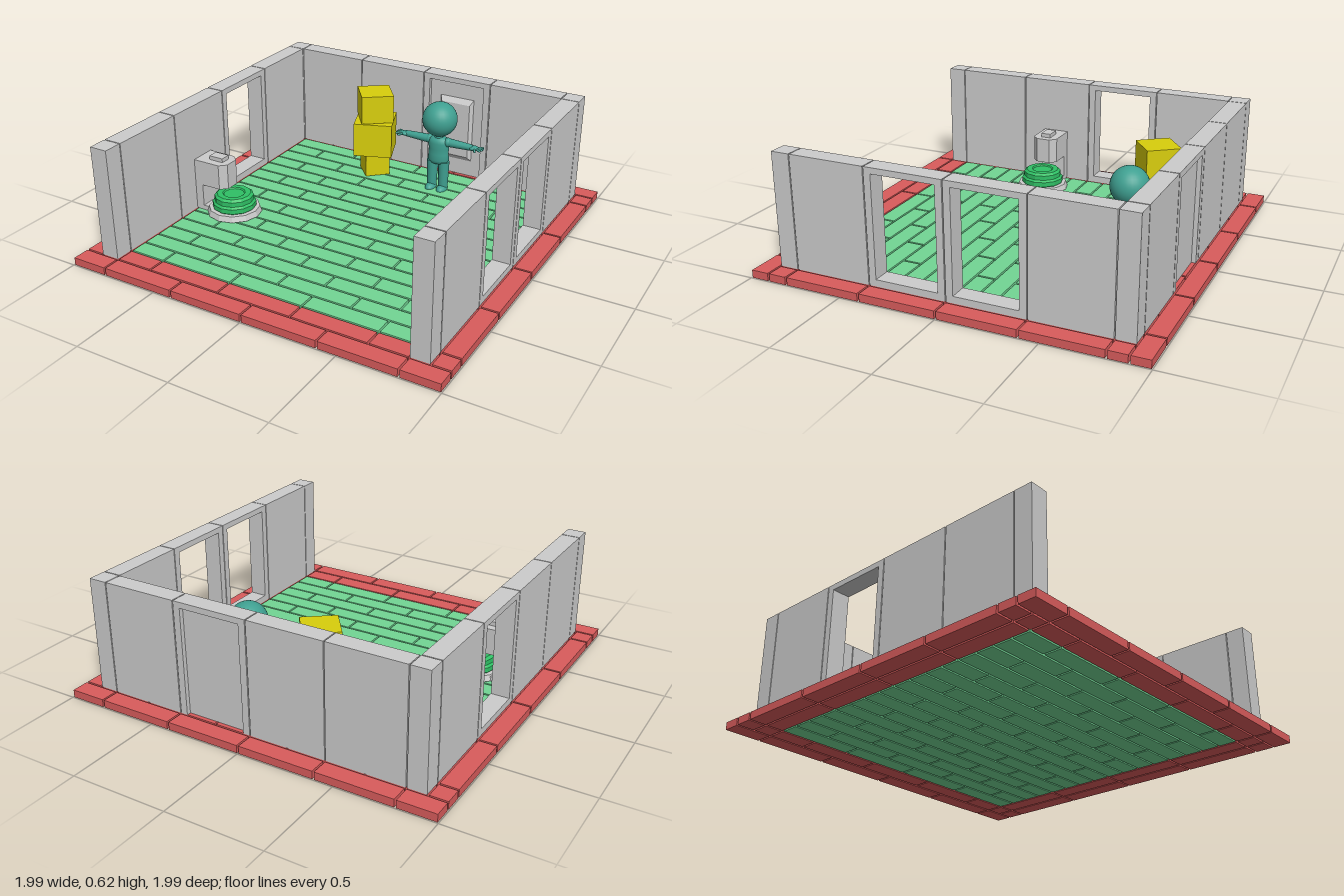
import * as THREE from 'three';

const mat = (color, extra = {}) => new THREE.MeshStandardMaterial({ color, ...extra });
const GREY = mat(0xcccccc), GREY_FLAT = mat(0xcccccc, { flatShading: true });
const RED = mat(0xd95c5c), GREEN = mat(0x72d594), YELLOW = mat(0xd8ce0c);
const TEAL = mat(0x3fa091), BUTTON = mat(0x2fc065, { flatShading: true });
const FLOOR = 0.04, WALL_H = 0.58, THICK = 0.095, GAP = 0.01;

function add(parent, name, geometry, material, x = 0, y = 0, z = 0) {
  const mesh = new THREE.Mesh(geometry, material);
  mesh.name = name;
  mesh.position.set(x, y, z);
  parent.add(mesh);
  return mesh;
}
const box = (w, h, d) => new THREE.BoxGeometry(w, h, d);

function group(parent, name, x = 0, y = 0, z = 0) {
  const g = new THREE.Group();
  g.name = name;
  g.position.set(x, y, z);
  parent.add(g);
  return g;
}

// One floor brick between two corners, with a seam around it
function brick(parent, name, x0, x1, z0, z1, material) {
  add(parent, name, box(x1 - x0 - GAP, FLOOR, z1 - z0 - GAP), material,
    (x0 + x1) / 2, FLOOR / 2, (z0 + z1) / 2);
}

function buildFloor(root) {
  const floor = group(root, 'floor');
  const straight = [-0.8, -0.4, 0, 0.4, 0.8];
  const shifted = [-0.8, -0.6, -0.2, 0.2, 0.6, 0.8];
  const spans = (joints, fn) => joints.slice(1).forEach((b, i) => fn(joints[i], b));
  // Green field in running bond
  for (let r = 0; r < 16; r++) {
    const z = -0.8 + r * 0.1;
    spans(r % 2 ? shifted : straight, (a, b) => brick(floor, 'floorBrick', a, b, z, z + 0.1, GREEN));
  }
  // Red border, two bricks wide
  const outer = [-1, ...straight, 1], side = [-0.9, -0.8, -0.4, 0, 0.4, 0.8, 0.9];
  const inner = [-0.9, ...shifted, 0.9];
  for (const s of [-1, 1]) {
    const o = s > 0 ? 0.9 : -1, n = s > 0 ? 0.8 : -0.9;
    spans(outer, (a, b) => brick(floor, 'borderBrick', a, b, o, o + 0.1, RED));
    spans(side, (a, b) => brick(floor, 'borderBrick', o, o + 0.1, a, b, RED));
    spans(inner, (a, b) => brick(floor, 'borderBrick', a, b, n, n + 0.1, RED));
    spans(straight, (a, b) => brick(floor, 'borderBrick', n, n + 0.1, a, b, RED));
  }
}

// Wall panel pierced by an opening that starts at height "sill"
function framePanel(sill) {
  const w = 0.1975, o = 0.162, top = 0.55;
  const pts = (list) => list.map(([x, y]) => new THREE.Vector2(x, y));
  let shape;
  if (sill > 0) {
    shape = new THREE.Shape(pts([[-w, 0], [w, 0], [w, WALL_H], [-w, WALL_H]]));
    shape.holes.push(new THREE.Path(pts([[-o, sill], [-o, top], [o, top], [o, sill]])));
  } else {
    shape = new THREE.Shape(pts([[-w, 0], [-o, 0], [-o, top], [o, top], [o, 0], [w, 0], [w, WALL_H], [-w, WALL_H]]));
  }
  return new THREE.ExtrudeGeometry(shape, { depth: THICK, bevelEnabled: false }).translate(0, 0, -THICK / 2);
}

// A run of four panels along local x, each 'solid', 'window' or 'door'
function wallRun(root, name, kinds) {
  const wall = group(root, name, 0, FLOOR, 0);
  kinds.forEach((kind, i) => {
    const x = -0.6 + i * 0.4;
    if (kind === 'solid') add(wall, 'wallPanel', box(0.395, WALL_H, THICK), GREY, x, WALL_H / 2);
    if (kind === 'window') add(wall, 'windowFrame', framePanel(0.035), GREY, x);
    if (kind === 'door') {
      add(wall, 'doorFrame', framePanel(0), GREY, x);
      add(wall, 'door', box(0.324, 0.55, 0.05), GREY, x, 0.275);
      // Raised field with sloping edges on the inner face
      const field = new THREE.CylinderGeometry(0.12, 0.1414, 0.022, 4).rotateY(Math.PI / 4).rotateX(Math.PI / 2);
      add(wall, 'doorField', field.scale(1, 1.85, 1), GREY_FLAT, x, 0.275, 0.036);
    }
  });
  return wall;
}

function buildWalls(root) {
  const c = 0.85;
  wallRun(root, 'backWall', ['solid', 'solid', 'door', 'solid']).position.z = -c;
  // The side runs list their panels from front to back
  for (const [name, x, kinds] of [
    ['rightWall', -c, ['solid', 'solid', 'window', 'solid']],
    ['leftWall', c, ['solid', 'window', 'window', 'solid']]]) {
    const wall = wallRun(root, name, kinds);
    wall.position.x = x;
    wall.rotation.y = Math.PI / 2;
    for (const z of [-c, c]) add(root, 'cornerPost', box(THICK, WALL_H, THICK), GREY, x, FLOOR + WALL_H / 2, z);
  }
}

function buildCrates(root) {
  const stack = group(root, 'crateStack', -0.202, 0, -0.61);
  // size, height, bottom, turn
  for (const [s, h, y, turn] of [[0.137, 0.128, 0.045, 0.75], [0.213, 0.192, 0.177, 0.36], [0.178, 0.158, 0.373, 0.65]]) {
    add(stack, 'crate', box(s, h, s), YELLOW, 0, y + h / 2).rotation.y = turn;
  }
}

function buildMachine(root) {
  const m = group(root, 'buttonStand', -0.605, 0, 0.2);
  // Stepped base and press button
  add(m, 'base', new THREE.CylinderGeometry(0.135, 0.145, 0.03, 12), GREY_FLAT, 0, 0.06);
  const profile = [[0, 0.07], [0.105, 0.07], [0.116, 0.08], [0.116, 0.105], [0.104, 0.115],
    [0.104, 0.14], [0.09, 0.152], [0.06, 0.152], [0.054, 0.146], [0, 0.146]];
  add(m, 'button', new THREE.LatheGeometry(profile.map(([x, y]) => new THREE.Vector2(x, y)), 12), BUTTON);
  // Post at the wall carrying a chamfered head
  add(m, 'post', box(0.045, 0.26, 0.14), GREY, -0.1725, 0.175);
  add(m, 'foot', box(0.1, 0.025, 0.14), GREY, -0.145, 0.055);
  const head = new THREE.Shape([[-0.195, -0.07], [-0.04, -0.07], [-0.005, -0.038], [-0.005, 0.038],
    [-0.04, 0.07], [-0.195, 0.07]].map(([x, y]) => new THREE.Vector2(x, y)));
  const headGeo = new THREE.ExtrudeGeometry(head, { depth: 0.137, bevelEnabled: false }).rotateX(-Math.PI / 2);
  add(m, 'head', headGeo, GREY, 0, 0.188);
  add(m, 'headCap', box(0.082, 0.025, 0.055), GREY, -0.085, 0.334);
}

function buildFigure(root) {
  const f = group(root, 'figure', 0.2, 0, -0.605);
  add(f, 'head', new THREE.SphereGeometry(0.096, 28, 20), TEAL, 0, 0.45);
  add(f, 'neck', new THREE.CylinderGeometry(0.024, 0.028, 0.04, 16), TEAL, 0, 0.355);
  // Torso from hips to shoulders, flattened front to back
  const torso = [[0, 0.19], [0.05, 0.195], [0.062, 0.215], [0.058, 0.25], [0.058, 0.28], [0.062, 0.315],
    [0.055, 0.338], [0.03, 0.35], [0, 0.352]].map(([x, y]) => new THREE.Vector2(x, y));
  add(f, 'torso', new THREE.LatheGeometry(torso, 24), TEAL).scale.z = 0.68;
  for (const s of [-1, 1]) {
    add(f, 'leg', new THREE.CylinderGeometry(0.031, 0.026, 0.16, 16), TEAL, s * 0.034, 0.125);
    const foot = add(f, 'foot', new THREE.SphereGeometry(0.03, 16, 10, 0, Math.PI * 2, 0, Math.PI / 2), TEAL, s * 0.034, FLOOR, 0.014);
    foot.scale.set(0.95, 0.9, 1.5);
    // Arm held straight out, hand with spread fingers
    const arm = group(f, 'arm', 0, 0.323, 0);
    arm.rotation.y = s > 0 ? 0 : Math.PI;
    const rod = (r0, r1, len) => new THREE.CylinderGeometry(r1, r0, len, 12).rotateZ(-Math.PI / 2);
    add(arm, 'shoulder', new THREE.SphereGeometry(0.026, 16, 12), TEAL, 0.055);
    add(arm, 'upperArm', rod(0.024, 0.021, 0.07), TEAL, 0.09);
    add(arm, 'forearm', rod(0.021, 0.017, 0.075), TEAL, 0.1625);
    add(arm, 'palm', new THREE.SphereGeometry(0.025, 14, 10), TEAL, 0.208).scale.set(1.05, 0.5, 1);
    for (const a of [-1.1, -0.5, -0.15, 0.2, 0.55]) {
      const finger = group(arm, 'finger', 0.208);
      finger.rotation.y = a * s;
      add(finger, 'fingerRod', new THREE.CapsuleGeometry(0.0065, 0.036, 3, 8).rotateZ(Math.PI / 2), TEAL, 0.03);
    }
  }
}

export function createModel() {
  const root = new THREE.Group();
  root.name = 'room';
  buildFloor(root);
  buildWalls(root);
  buildCrates(root);
  buildMachine(root);
  buildFigure(root);
  return root;
}
